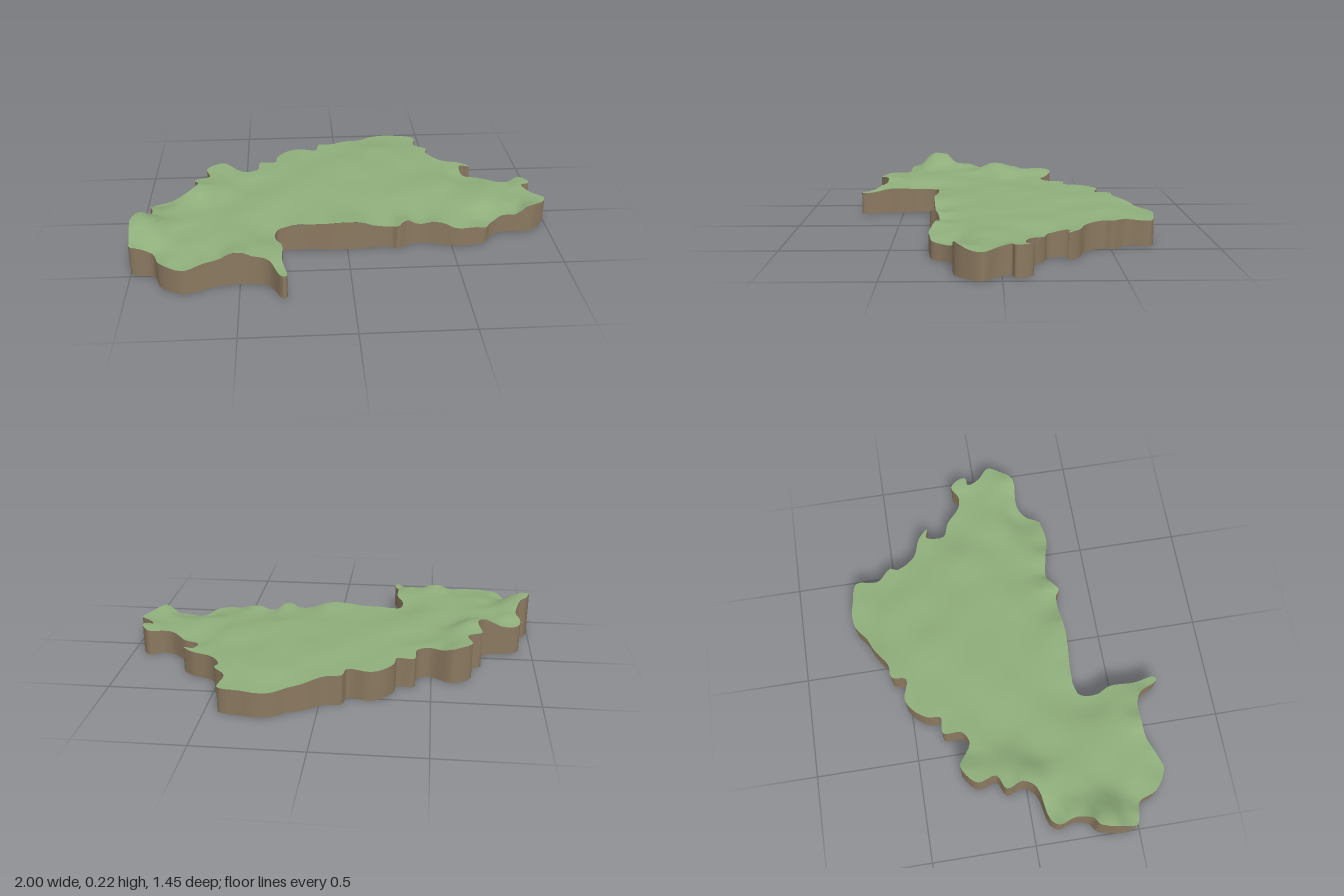
import * as THREE from 'three';

// coastline as x, z pairs, clockwise seen from above, starting at the west tip
const OUTLINE = [
  -1, .47, -.98, .30, -.94, .27, -.92, .2, -.94, .12, -.91, .08, -.76, .04, -.72, -.02, -.74, -.10, -.67, -.14,
  -.69, -.23, -.63, -.29, -.59, -.30, -.49, -.24, -.43, -.27, -.42, -.36, -.34, -.36, -.33, -.42, -.28, -.49,
  -.22, -.52, -.12, -.50, -.10, -.57, -.03, -.58, .06, -.64, .13, -.67, .20, -.72, .27, -.73, .33, -.72,
  .44, -.69, .43, -.58, .49, -.51, .48, -.47, .54, -.38, .64, -.34, .69, -.29, .64, -.30, .64, -.21, .71, -.18,
  .79, -.11, .85, -.10, .91, -.13, .95, -.08, .95, -.05, .91, -.04, .94, .02, 1, .08, .96, .15, .90, .20,
  .76, .20, .70, .24, .66, .30, .62, .31, .53, .32, .45, .30, .33, .28, .28, .30, .24, .33, .21, .31, 0, .32,
  -.32, .32, -.34, .41, -.31, .48, -.31, .6, -.29, .71, -.31, .72, -.36, .63, -.41, .60, -.58, .60,
  -.71, .65, -.75, .66, -.85, .60, -.89, .51, -.97, .49,
];

// spot heights: x, z, y
const SPOTS = [
  [-1, .47, .14], [-.98, .36, .225], [-.98, .30, .22], [-.92, .2, .17], [-.9, .08, .14], [-.73, -.01, .205],
  [-.72, -.1, .18], [-.66, -.27, .18], [-.49, -.24, .15], [-.34, -.38, .145], [-.1, -.56, .145], [.2, -.72, .12],
  [.44, -.69, .12], [.48, -.48, .13], [.66, -.3, .125], [.66, -.2, .11], [.85, -.1, .12], [.93, -.08, .14],
  [1, .08, .12], [.9, .2, .145], [.83, .2, .09], [.7, .25, .075], [.55, .32, .095], [.42, .3, .12],
  [.35, .28, .10], [.27, .3, .14], [.2, .31, .11], [0, .32, .145], [-.2, .32, .135], [-.33, .36, .12],
  [-.3, .7, .11], [-.42, .6, .14], [-.51, .6, .165], [-.62, .61, .135], [-.75, .65, .12], [-.88, .54, .12],
  [-.75, .4, .145], [-.8, .2, .15], [-.55, .4, .15], [-.55, .1, .145], [-.45, -.1, .14], [-.2, -.1, .15],
  [0, -.3, .15], [.25, -.45, .14], [.2, 0, .14], [.45, -.1, .135], [.65, .05, .125], [.85, .05, .12],
];

// inverse-distance blend of the spot heights with gentle undulation
function height(x, z) {
  let sum = 0, total = 0;
  for (const [sx, sz, h] of SPOTS) {
    const w = 1 / ((x - sx) ** 2 + (z - sz) ** 2 + 0.0012) ** 1.6;
    sum += h * w;
    total += w;
  }
  return sum / total + 0.002 * Math.sin(x * 19 + 1) * Math.cos(z * 17);
}

function normalAt(x, z) {
  const e = 0.01;
  return new THREE.Vector3(
    (height(x - e, z) - height(x + e, z)) / (2 * e), 1,
    (height(x, z - e) - height(x, z + e)) / (2 * e)).normalize().toArray();
}

function smoothOutline() {
  const points = [];
  for (let i = 0; i < OUTLINE.length; i += 2) points.push(new THREE.Vector3(OUTLINE[i], 0, OUTLINE[i + 1]));
  const curve = new THREE.CatmullRomCurve3(points, true, 'centripetal');
  return curve.getPoints(points.length * 4).slice(0, -1).map(p => new THREE.Vector2(p.x, p.z));
}

// cut a polygon to one side of a line: axis 'x' or 'y', keeping sign * (value - limit) >= 0
function clip(poly, axis, limit, sign) {
  const out = [];
  poly.forEach((a, i) => {
    const b = poly[(i + 1) % poly.length];
    const da = sign * (a[axis] - limit), db = sign * (b[axis] - limit);
    if (da >= 0) out.push(a);
    if (da * db < 0) out.push(a.clone().lerp(b, da / (da - db)));
  });
  return out;
}

function triangles(poly, up) {
  return THREE.ShapeUtils.triangulateShape(poly, []).map(f => {
    const [a, b, c] = f.map(i => poly[i]);
    const facing = (b.y - a.y) * (c.x - a.x) - (b.x - a.x) * (c.y - a.y);
    return (facing > 0) === up ? [a, b, c] : [a, c, b];
  });
}

function geometry(positions, normals, index) {
  const g = new THREE.BufferGeometry();
  g.setAttribute('position', new THREE.Float32BufferAttribute(positions, 3));
  if (normals) g.setAttribute('normal', new THREE.Float32BufferAttribute(normals, 3));
  if (index) g.setIndex(index);
  if (!normals) g.computeVertexNormals();
  return g;
}

// rolling land surface: the outline cut into grid cells and lifted
function landSurface(outline) {
  const positions = [], normals = [], step = 0.04;
  for (let i = -25; i < 25; i++) {
    const strip = clip(clip(outline, 'x', i * step, 1), 'x', (i + 1) * step, -1);
    for (let j = -19; j < 19; j++) {
      const cell = clip(clip(strip, 'y', j * step, 1), 'y', (j + 1) * step, -1);
      if (cell.length < 3) continue;
      for (const p of triangles(cell, true).flat()) {
        positions.push(p.x, height(p.x, p.y), p.y);
        normals.push(...normalAt(p.x, p.y));
      }
    }
  }
  return geometry(positions, normals);
}

// upright cliff from the land edge to the ground
function cliffWall(outline) {
  const positions = [], index = [], n = outline.length;
  outline.forEach((p, i) => {
    positions.push(p.x, height(p.x, p.y), p.y, p.x, 0, p.y);
    const a = 2 * i, b = 2 * ((i + 1) % n);
    index.push(a, b, b + 1, a, b + 1, a + 1);
  });
  return geometry(positions, null, index);
}

// flat base
function baseFace(outline) {
  return geometry(triangles(outline, false).flat().flatMap(p => [p.x, 0, p.y]));
}

export function createModel() {
  const grass = new THREE.MeshStandardMaterial({ color: 0x8fae7b });
  grass.name = 'grass green';
  const earth = new THREE.MeshStandardMaterial({ color: 0x8b7960 });
  earth.name = 'earth brown';

  const model = new THREE.Group();
  model.name = 'terrainSlab';
  const outline = smoothOutline();
  const add = (name, geo, material) => {
    const mesh = new THREE.Mesh(geo, material);
    mesh.name = name;
    model.add(mesh);
  };
  add('landSurface', landSurface(outline), grass);
  add('cliffWall', cliffWall(outline), earth);
  add('base', baseFace(outline), earth);
  return model;
}
